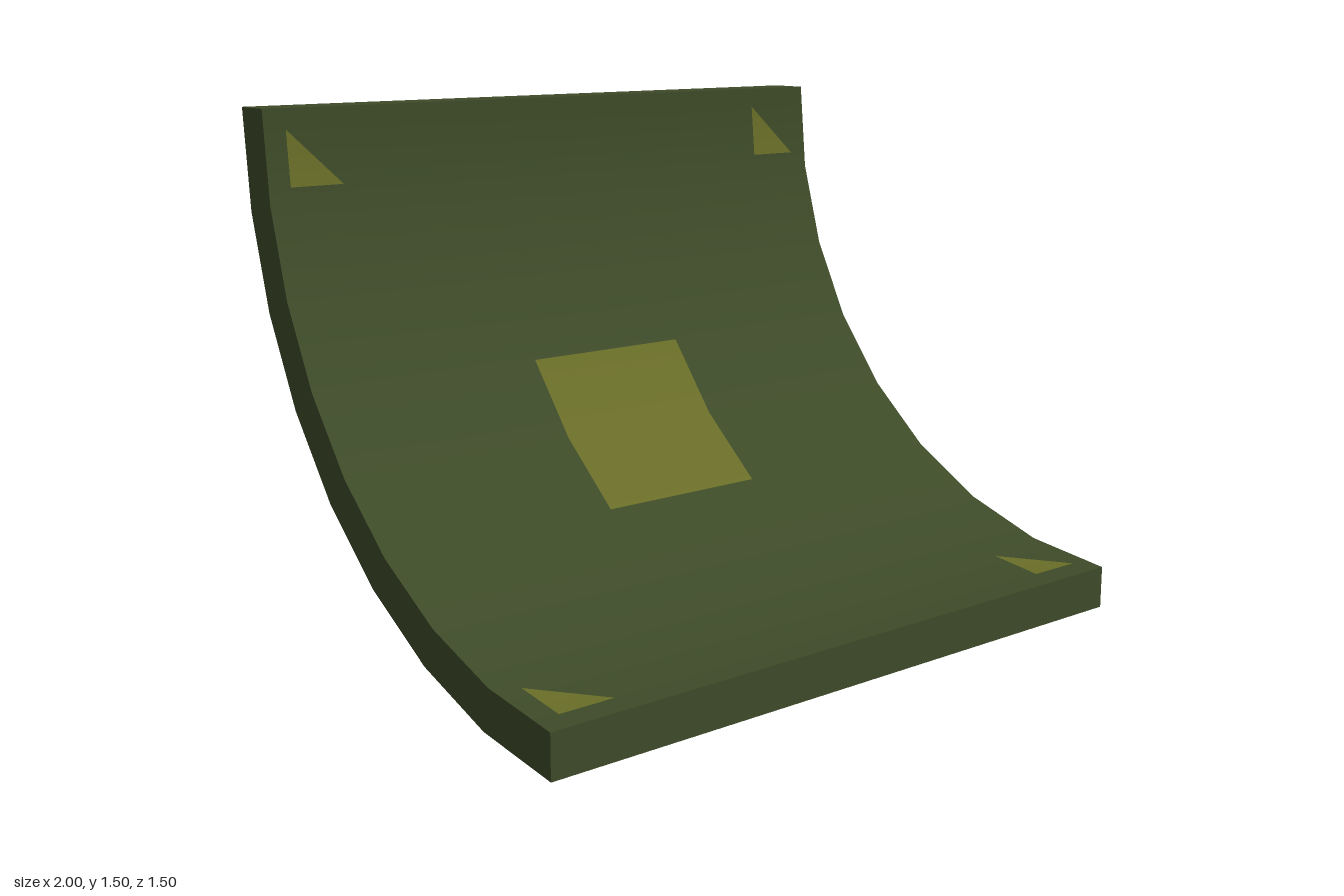
import * as THREE from 'three';

const OUTER = 1.5, INNER = 1.375, SEGMENTS = 8, HALF = 1;
const CENTRE_Y = 1.5, CENTRE_Z = 0.75;
const DECAL = INNER - 0.004; // decals float just off the inner face

const olive = new THREE.MeshStandardMaterial({ color: 0x3d4a28 });
olive.name = 'olive green';
const yellow = new THREE.MeshStandardMaterial({ color: 0x686c27 });
yellow.name = 'dull yellow';

// Point on the faceted arc: step 0 is the front lip, step 8 the top rim.
// Fractional steps lie on the straight chord between two arc corners.
function at(x, radius, step) {
  const corner = (i) => {
    const a = (i / SEGMENTS) * Math.PI / 2;
    return new THREE.Vector3(x, CENTRE_Y - radius * Math.cos(a), CENTRE_Z - radius * Math.sin(a));
  };
  const i = Math.min(Math.floor(step), SEGMENTS - 1);
  return corner(i).lerp(corner(i + 1), step - i);
}

// Mesh from rows of two points; round = 1 or -1 gives smooth radial normals.
function strip(name, material, rows, round = 0) {
  const points = rows.flat();
  const index = [];
  for (let i = 0; i < rows.length - 1; i++) {
    const a = i * 2;
    index.push(a, a + 1, a + 3, a, a + 3, a + 2);
  }
  const geometry = new THREE.BufferGeometry().setFromPoints(points);
  geometry.setIndex(index);
  geometry.computeVertexNormals();
  if (round) {
    points.forEach((p, i) => {
      const n = new THREE.Vector3(0, p.y - CENTRE_Y, p.z - CENTRE_Z).normalize().multiplyScalar(round);
      geometry.attributes.normal.setXYZ(i, n.x, n.y, n.z);
    });
  }
  const mesh = new THREE.Mesh(geometry, material);
  mesh.name = name;
  return mesh;
}

// Row for each arc corner from one step to another
const sweep = (from, to, row) =>
  Array.from({ length: to - from + 1 }, (_, i) => row(from + i));

export function createModel() {
  const model = new THREE.Group();
  model.name = 'curvedPanel';

  // Curved slab: inner and outer faces
  model.add(
    strip('innerFace', olive, sweep(0, SEGMENTS, (s) => [at(-HALF, INNER, s), at(HALF, INNER, s)]), -1),
    strip('outerFace', olive, sweep(0, SEGMENTS, (s) => [at(HALF, OUTER, s), at(-HALF, OUTER, s)]), 1),
  );

  // Flat ends, front lip and top rim
  model.add(
    strip('leftEnd', olive, sweep(0, SEGMENTS, (s) => [at(HALF, INNER, s), at(HALF, OUTER, s)])),
    strip('rightEnd', olive, sweep(0, SEGMENTS, (s) => [at(-HALF, OUTER, s), at(-HALF, INNER, s)])),
    strip('frontLip', olive, [OUTER, INNER].map((r) => [at(-HALF, r, 0), at(HALF, r, 0)])),
    strip('topRim', olive, [INNER, OUTER].map((r) => [at(-HALF, r, SEGMENTS), at(HALF, r, SEGMENTS)])),
  );

  // Central square, bent over two facets
  model.add(strip('centreMark', yellow,
    sweep(3, 5, (s) => [at(-0.267, DECAL, s), at(0.267, DECAL, s)]), -1));

  // Corner triangles, all pointing the same way
  for (const x of [-0.935, 0.77]) {
    for (const [low, high] of [[0.22, 0.82], [7.18, 7.78]]) {
      model.add(strip('cornerMark', yellow, [
        [at(x, DECAL, low), at(x + 0.165, DECAL, low)],
        [at(x, DECAL, high), at(x, DECAL, high)],
      ], -1));
    }
  }
  return model;
}
